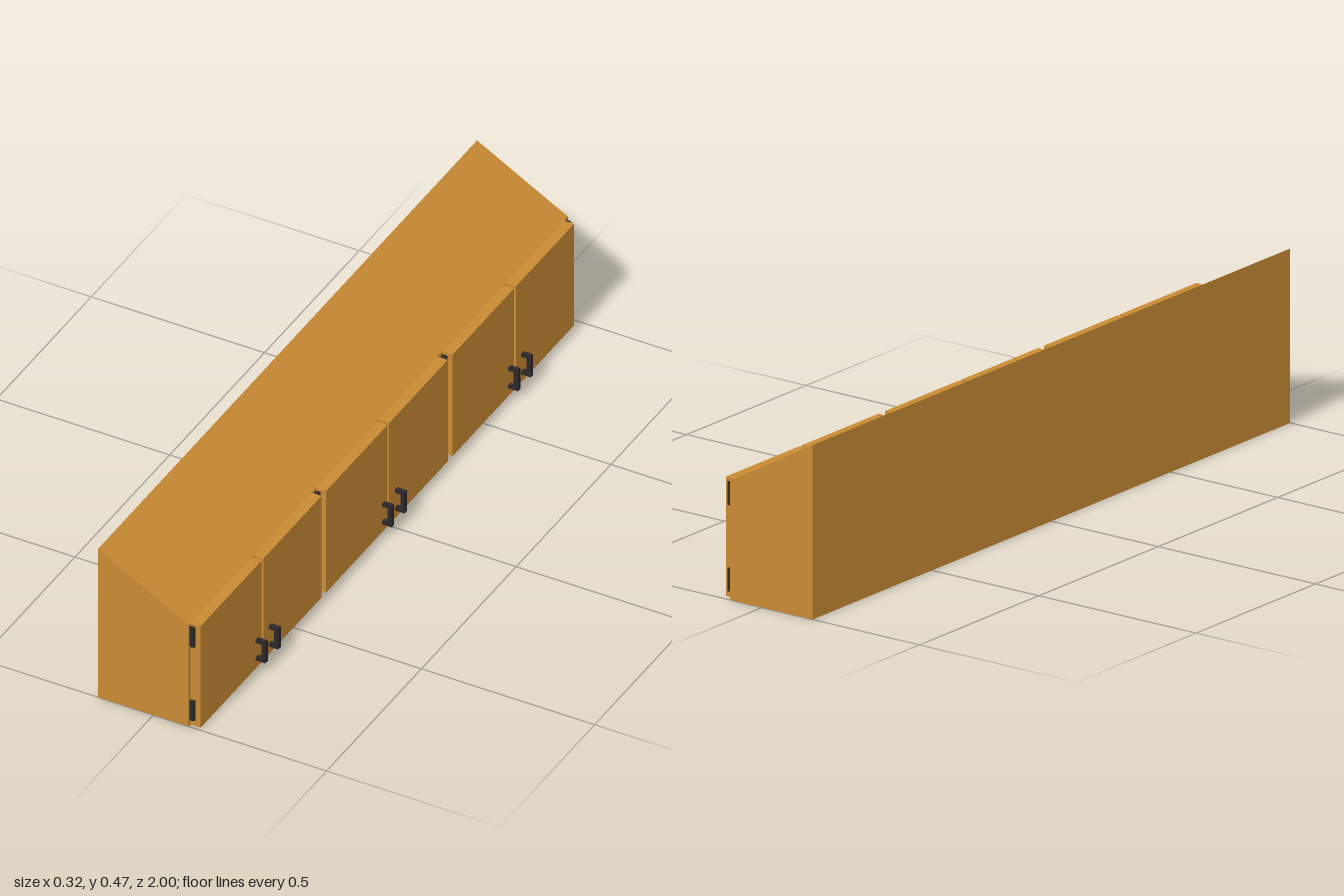
import * as THREE from 'three';

export function createModel() {
  const wood = new THREE.MeshStandardMaterial({ color: 0xc98b33 });
  wood.name = 'wood';
  const metal = new THREE.MeshStandardMaterial({ color: 0x2c2729 });
  metal.name = 'dark metal';

  const group = new THREE.Group();
  group.name = 'wallCabinet';

  const add = (parent, name, geometry, material, x = 0, y = 0, z = 0) => {
    const mesh = new THREE.Mesh(geometry, material);
    mesh.name = name;
    mesh.position.set(x, y, z);
    parent.add(mesh);
    return mesh;
  };
  // Box given by its lower and upper limits on each axis
  const box = (parent, name, material, [x0, x1], [y0, y1], [z0, z1]) =>
    add(parent, name, new THREE.BoxGeometry(x1 - x0, y1 - y0, z1 - z0), material,
      (x0 + x1) / 2, (y0 + y1) / 2, (z0 + z1) / 2);

  // Cabinet body with a sloping top
  const profile = new THREE.Shape([
    new THREE.Vector2(-0.16, 0), new THREE.Vector2(0.102, 0),
    new THREE.Vector2(0.102, 0.318), new THREE.Vector2(-0.16, 0.465),
  ]);
  add(group, 'body', new THREE.ExtrudeGeometry(profile, { depth: 2, bevelEnabled: false }),
    wood, 0, 0, -1);

  // Six doors in three pairs
  const doors = [
    [0.668, 0.99], [0.352, 0.659], [0.004, 0.328],
    [-0.314, -0.005], [-0.664, -0.34], [-0.98, -0.673],
  ];
  doors.forEach((z) => box(group, 'door', wood, [0.102, 0.131], [0, 0.318], [z[1], z[0]].reverse()));

  // Hinge barrels in the gaps and at both ends: centre z and width
  const hinges = [
    [0.994, 0.01], [0.346, 0.012], [0.334, 0.012],
    [-0.321, 0.013], [-0.334, 0.013], [-0.988, 0.016],
  ];
  const barrel = new THREE.CylinderGeometry(0.5, 0.5, 0.06, 12);
  for (const [z, width] of hinges)
    for (const y of [0.05, 0.28])
      add(group, 'hinge', barrel, metal, 0.11, y, z).scale.set(0.016, 1, width);

  // Pull handles, one bar on two arms
  for (const z of [0.693, 0.625, 0.027, -0.041, -0.639, -0.707]) {
    const handle = new THREE.Group();
    handle.name = 'handle';
    const width = [z - 0.0065, z + 0.0065];
    box(handle, 'handleBar', metal, [0.147, 0.159], [0.025, 0.09], width);
    box(handle, 'handleArm', metal, [0.131, 0.147], [0.025, 0.035], width);
    box(handle, 'handleArm', metal, [0.131, 0.147], [0.08, 0.09], width);
    group.add(handle);
  }
  return group;
}
